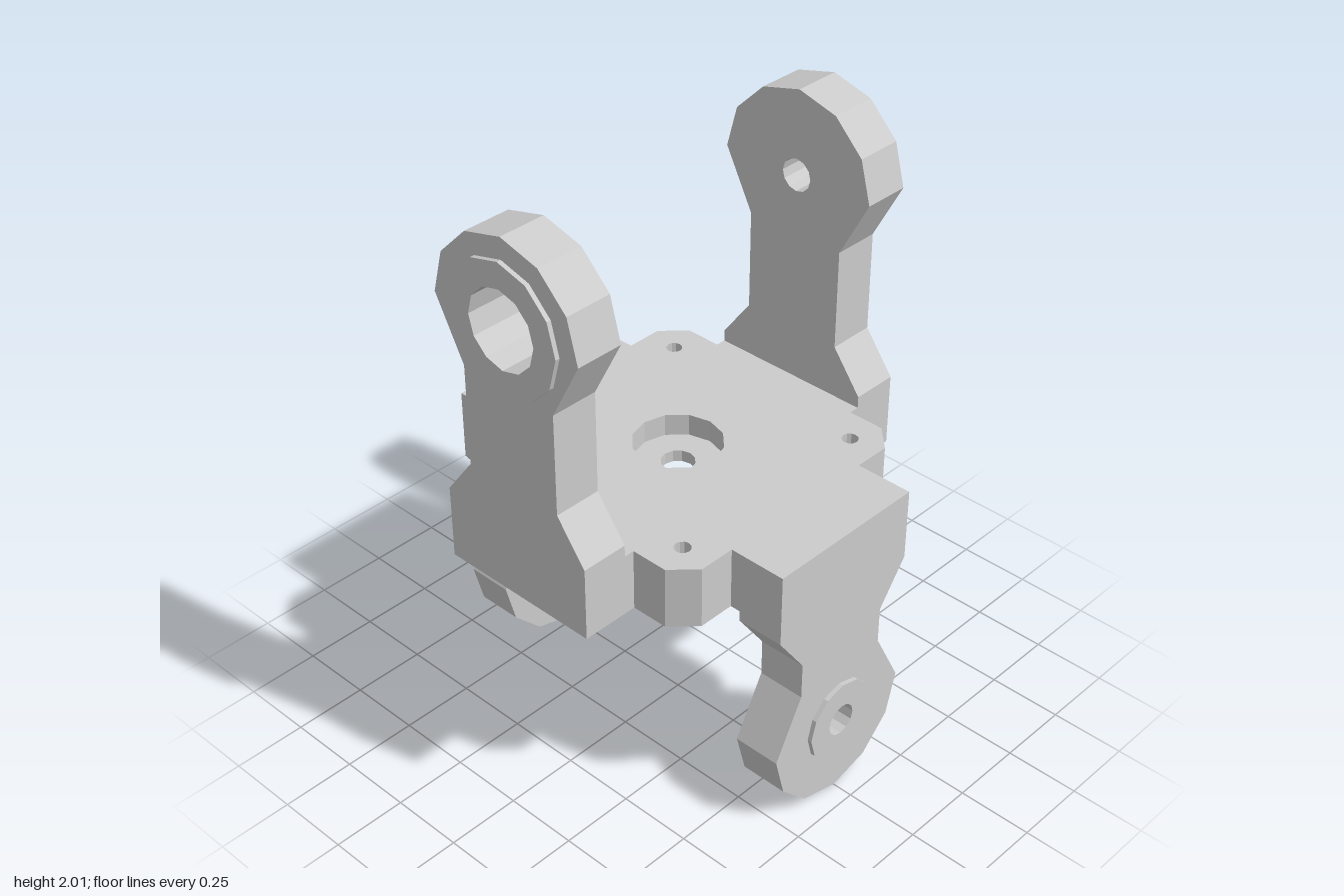
import * as THREE from 'three';

const material = new THREE.MeshStandardMaterial({ color: 0xcccccc, flatShading: true });
const INNER = 0.52, OUTER = 0.68, BOSS = 0.695; // arm faces, distance from the centre
const HALF = 0.285; // arm half width and eye radius

// Points of a regular twelve-sided ring
function ring(cx, cy, r, from = 0, steps = 11) {
  return Array.from({ length: steps + 1 }, (_, i) => {
    const a = from + (i * Math.PI) / 6;
    return new THREE.Vector2(cx + r * Math.cos(a), cy + r * Math.sin(a));
  });
}

function extrude(name, points, holes, start, end) {
  const shape = new THREE.Shape(points);
  shape.holes = holes.map((h) => new THREE.Path(h));
  const geometry = new THREE.ExtrudeGeometry(shape, { depth: end - start, bevelEnabled: false });
  geometry.translate(0, 0, start);
  const mesh = new THREE.Mesh(geometry, material);
  mesh.name = name;
  return mesh;
}

// Arm with a flared root, a neck and a twelve-sided eye; dir is 1 for up, -1 for down
function arm(name, [root, flare, neck, neckEnd, pivot], dir, turn, bossRadius, holeRadius) {
  const side = [[HALF, root], [HALF, flare], [0.18, neck], [0.18, neckEnd]]
    .map(([x, y]) => new THREE.Vector2(x, y));
  const eye = ring(0, pivot, HALF, 0, 6);
  if (dir < 0) eye.forEach((p) => (p.y = 2 * pivot - p.y));
  const mirrored = side.map((p) => new THREE.Vector2(-p.x, p.y)).reverse();
  const hole = ring(0, pivot, holeRadius);

  const group = new THREE.Group();
  group.name = name;
  group.add(
    extrude('armBody', [...side, ...eye, ...mirrored], [hole], INNER, OUTER),
    extrude('armBoss', ring(0, pivot, bossRadius), [hole], OUTER, BOSS),
  );
  group.rotation.y = turn;
  return group;
}

// Cross-shaped plate with chamfered corners, stacked in layers for its two recesses
function plate() {
  const quarter = [[OUTER, -HALF], [OUTER, HALF], [0.485, HALF], [0.485, 0.41], [0.41, 0.485], [HALF, 0.485]];
  const outline = [];
  for (let k = 0; k < 4; k++) {
    for (const [x, y] of quarter) {
      outline.push(new THREE.Vector2(x, y).rotateAround(new THREE.Vector2(), (k * Math.PI) / 2));
    }
  }
  const screwHoles = [[1, 1], [-1, 1], [-1, -1], [1, -1]]
    .map(([x, y]) => ring(x * 0.375, y * 0.375, 0.027));
  const q = 0.17;
  const pocket = [[q, q], [-q, q], [-q, -q], [q, -q]].map(([x, y]) => new THREE.Vector2(x, y));

  const group = new THREE.Group();
  group.name = 'plate';
  group.add(
    extrude('squarePocketLayer', outline, [pocket, ...screwHoles], 0.79, 0.885),
    extrude('plateWeb', outline, [ring(0, 0, 0.055), ...screwHoles], 0.885, 0.925),
    extrude('roundRecessLayer', outline, [ring(0, 0, 0.145), ...screwHoles], 0.925, 1),
  );
  group.rotation.x = -Math.PI / 2;
  return group;
}

export function createModel() {
  const model = new THREE.Group();
  model.name = 'jointBracket';
  const upper = [1, 1.04, 1.18, 1.52, 1.72];
  const lower = [0.79, 0.755, 0.61, 0.485, 0.285];
  model.add(
    plate(),
    arm('upperLeftArm', upper, 1, Math.PI / 2, 0.14, 0.055),
    arm('upperRightArm', upper, 1, -Math.PI / 2, 0.215, 0.13),
    arm('lowerFrontArm', lower, -1, 0, 0.14, 0.055),
    arm('lowerBackArm', lower, -1, Math.PI, 0.215, 0.13),
  );
  return model;
}
